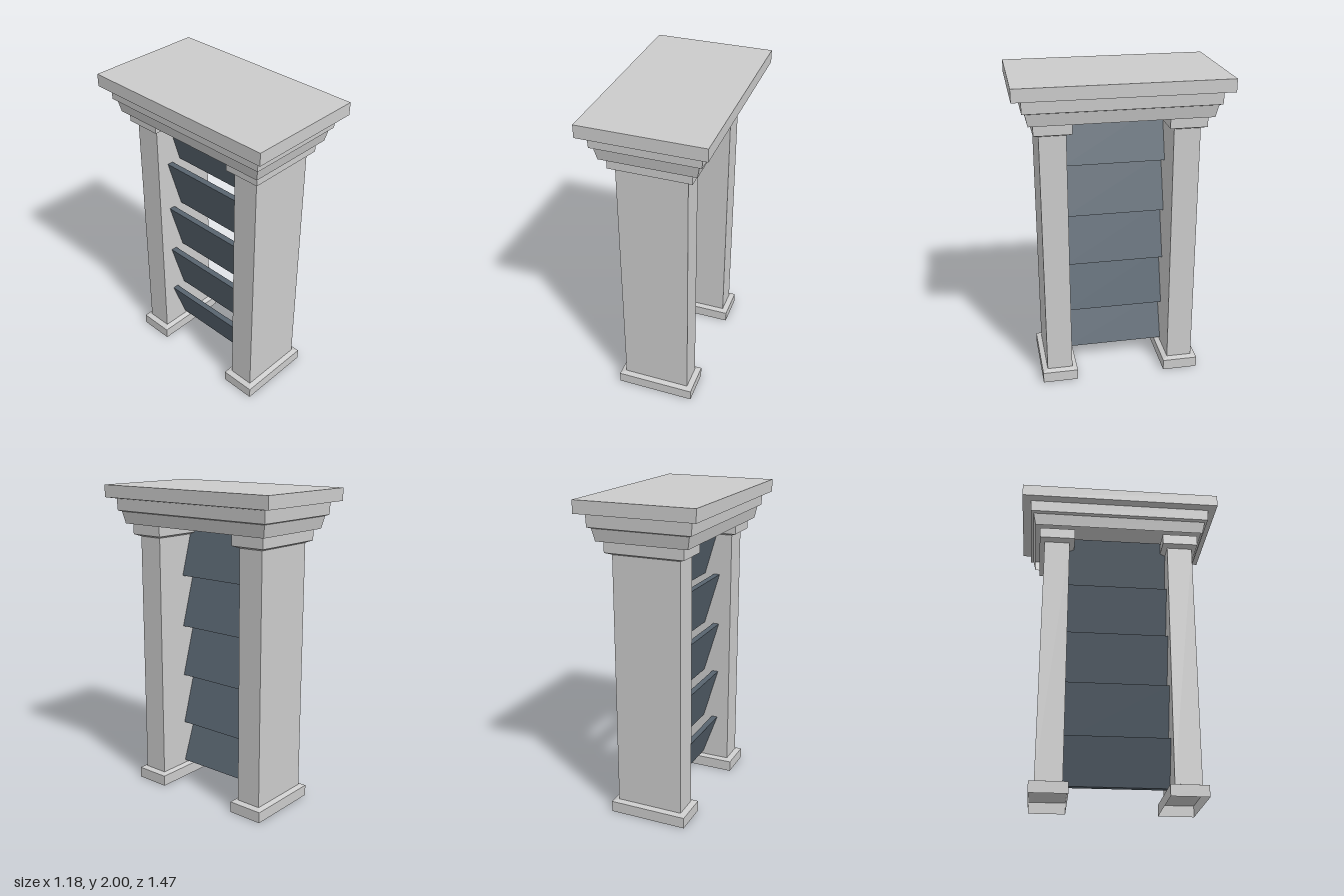
import * as THREE from 'three';

const stone = new THREE.MeshStandardMaterial({ color: 0xcccccc, flatShading: true, side: THREE.DoubleSide });
const slatMaterial = new THREE.MeshStandardMaterial({ color: 0x58646f, flatShading: true });

// Joins rectangular rings [width, depth, y], listed upwards; a 0 x 0 ring closes an end.
function loft(name, rings) {
  const signs = [[1, 1], [1, -1], [-1, -1], [-1, 1]];
  const corner = ([w, d, y], i) => [signs[i % 4][0] * w / 2, y, signs[i % 4][1] * d / 2];
  const positions = [];
  for (let r = 0; r + 1 < rings.length; r++) {
    for (let i = 0; i < 4; i++) {
      const a = corner(rings[r], i), b = corner(rings[r], i + 1);
      const c = corner(rings[r + 1], i + 1), d = corner(rings[r + 1], i);
      if (rings[r][0] > 0) positions.push(...a, ...b, ...c);
      if (rings[r + 1][0] > 0) positions.push(...a, ...c, ...d);
      }
  }
  const geometry = new THREE.BufferGeometry();
  geometry.setAttribute('position', new THREE.Float32BufferAttribute(positions, 3));
  geometry.computeVertexNormals();
  const mesh = new THREE.Mesh(geometry, stone);
  mesh.name = name;
  return mesh;
}

function createPillar(name, z) {
  const pillar = new THREE.Group();
  pillar.name = name;
  const W = 0.43, D = 0.163, wideW = 0.501, wideD = 0.228;
  // Hollow base, open underneath
  pillar.add(loft('base', [[wideW, wideD, 0], [wideW, wideD, 0.07], [W, D, 0.08]]));
  pillar.add(loft('shaft', [[0, 0, 0.08], [W, D, 0.08], [W, D, 1.674]]));
  pillar.add(loft('capital', [[W, D, 1.674], [wideW, wideD, 1.688], [wideW, wideD, 1.757]]));
  pillar.position.z = z;
  return pillar;
}

// Leaning slat with level top and bottom edges, spanning the two pillars
function createSlat(y0, y1) {
  const length = 0.645;
  const shape = new THREE.Shape([
    new THREE.Vector2(-0.034, y0), new THREE.Vector2(0.006, y0),
    new THREE.Vector2(-0.096, y1), new THREE.Vector2(-0.136, y1),
  ]);
  const geometry = new THREE.ExtrudeGeometry(shape, { depth: length, bevelEnabled: false });
  geometry.translate(0, 0, -length / 2);
  const mesh = new THREE.Mesh(geometry, slatMaterial);
  mesh.name = 'slat';
  return mesh;
}

export function createModel() {
  const model = new THREE.Group();
  model.name = 'slattedGateway';
  const body = new THREE.Group();
  body.name = 'body';
  body.rotation.y = Math.PI / 8;
  model.add(body);

  body.add(createPillar('frontPillar', 0.4034), createPillar('backPillar', -0.4034));

  // Stepped roof: a skirt open underneath, below two solid tiers
  body.add(loft('roofSkirt', [[0.574, 1.096, 1.757], [0.604, 1.128, 1.833]]));
  body.add(loft('roof', [
    [0, 0, 1.833], [0.604, 1.128, 1.833], [0.644, 1.163, 1.84], [0.65, 1.168, 1.914],
    [0.746, 1.28, 1.922], [0.746, 1.28, 2], [0, 0, 2],
  ]));

  // Five slats stacked between the pillars
  const slats = new THREE.Group();
  slats.name = 'slats';
  const levels = [0.1, 0.383, 0.725, 1.067, 1.408, 1.757];
  for (let i = 0; i < 5; i++) slats.add(createSlat(levels[i], levels[i + 1]));
  body.add(slats);

  return model;
}
